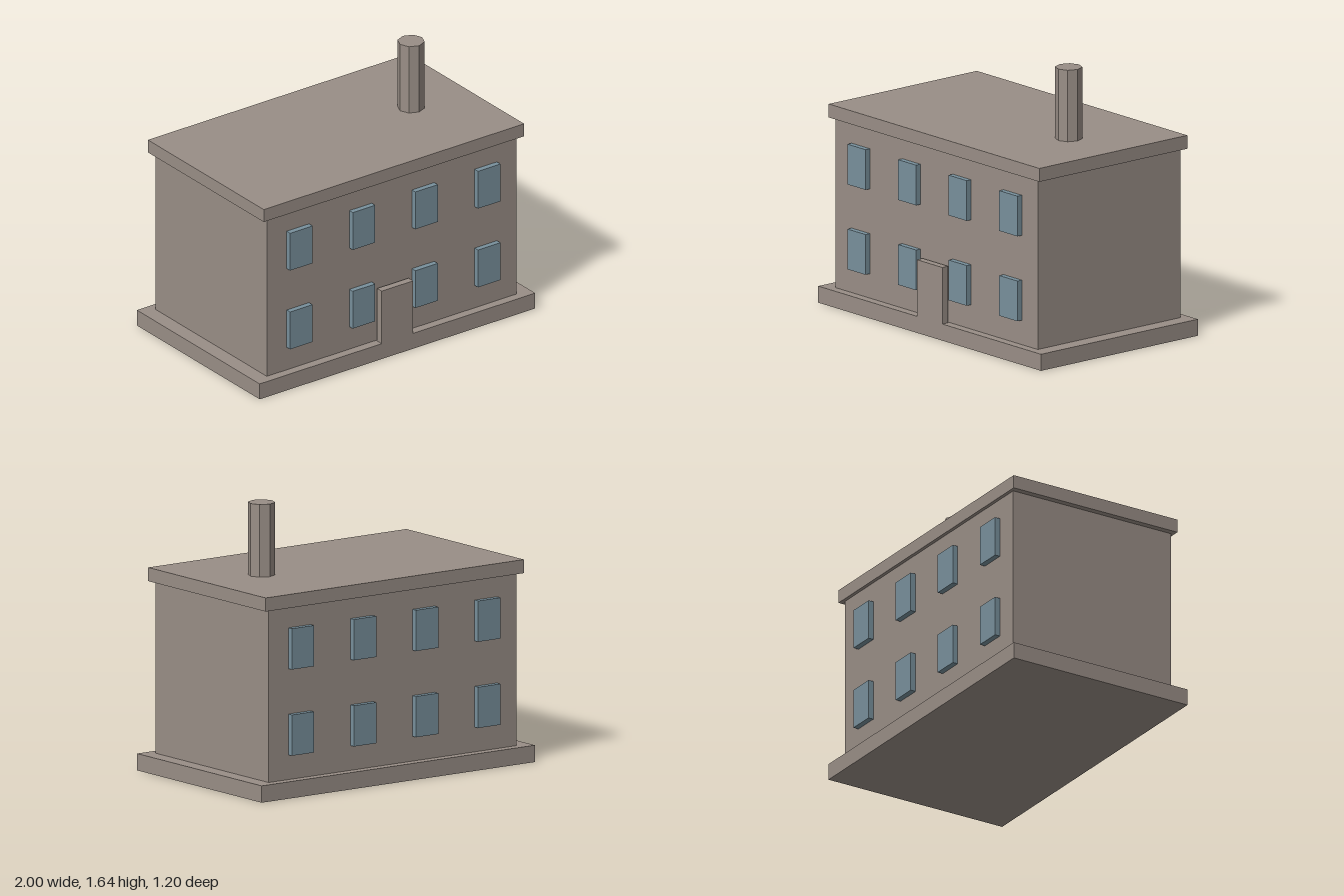
import * as THREE from 'three';

export function createModel() {
  const model = new THREE.Group();
  model.name = 'building';

  const stone = new THREE.MeshStandardMaterial({ color: 0x998e86 });
  stone.name = 'stone';
  const glass = new THREE.MeshStandardMaterial({ color: 0x78909c });
  glass.name = 'blue glass';

  const add = (name, geometry, material, x, y, z, parent = model) => {
    const mesh = new THREE.Mesh(geometry, material);
    mesh.name = name;
    mesh.position.set(x, y, z);
    parent.add(mesh);
    return mesh;
  };
  // Box centred on x, spanning y0..y1 and z0..z1
  const box = (name, material, x, width, y0, y1, z0, z1, parent) =>
    add(name, new THREE.BoxGeometry(width, y1 - y0, z1 - z0), material,
      x, (y0 + y1) / 2, (z0 + z1) / 2, parent);

  // Plinth, walls and overhanging flat roof
  box('plinth', stone, 0, 2, 0, 0.1, -0.602, 0.602);
  box('walls', stone, 0, 1.814, 0.1, 1.125, -0.547, 0.547);
  box('roof', stone, 0, 1.89, 1.125, 1.206, -0.568, 0.568);

  // Door slab standing just clear of the front wall
  box('door', stone, 0, 0.228, 0.1, 0.442, 0.557, 0.602);

  // Eight-sided chimney
  const chimney = new THREE.CylinderGeometry(0.08, 0.08, 0.432, 8).toNonIndexed();
  chimney.computeVertexNormals();
  add('chimney', chimney, stone, 0.545, 1.422, 0);

  // Two rows of four raised windows on the front and back
  const windows = new THREE.Group();
  windows.name = 'windows';
  model.add(windows);
  for (const side of [1, -1]) {
    for (const y of [0.247, 0.76]) {
      for (const x of [-0.682, -0.227, 0.227, 0.682]) {
        const pane = box('window', glass, x, 0.163, y, y + 0.243, 0.537, 0.581, windows);
        pane.position.z *= side;
      }
    }
  }
  return model;
}
